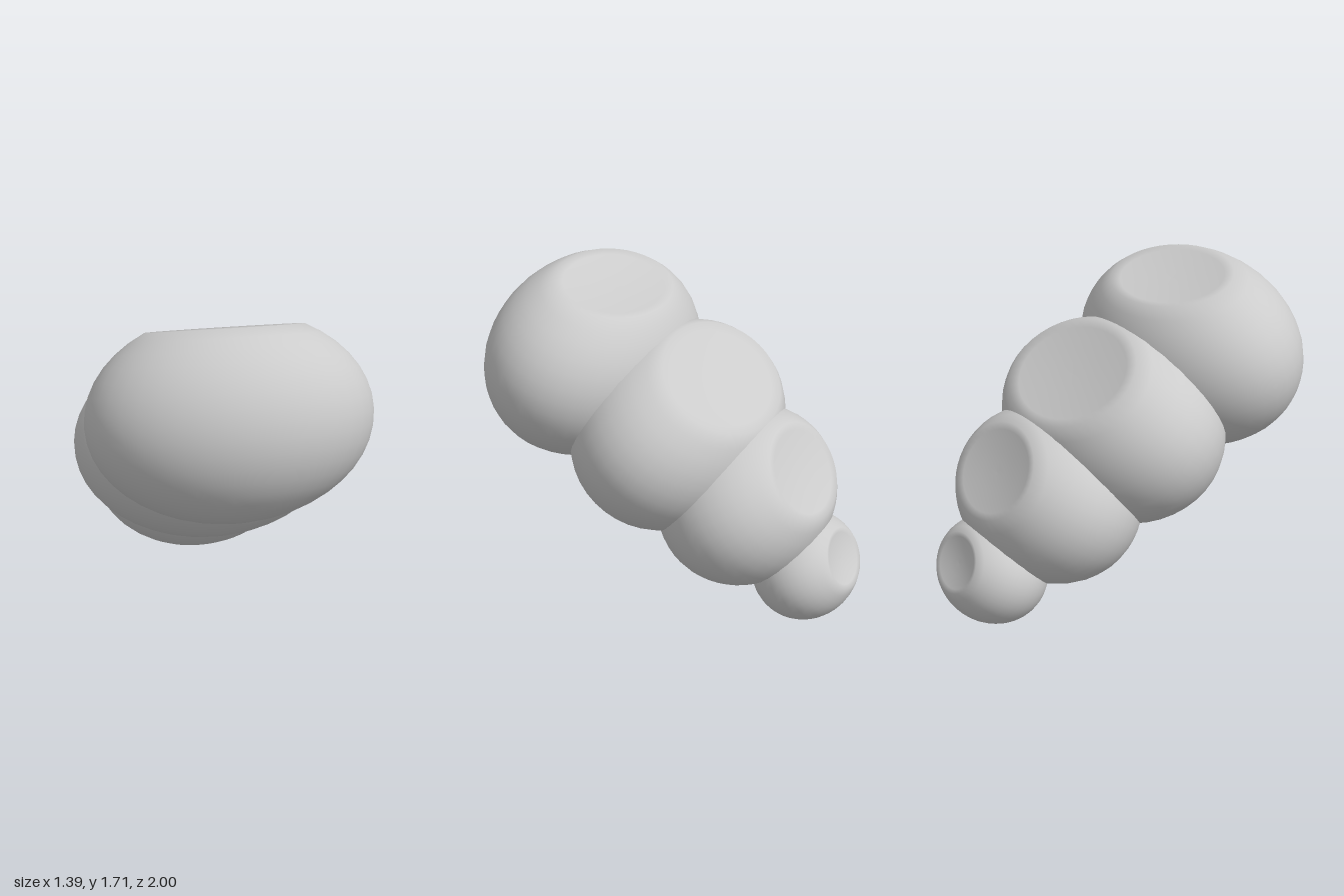
import * as THREE from 'three';

// Ball with a soft, slightly dished flat on its +y end, d above its centre
function flattenedBall(radius, d) {
  const rim = Math.acos(d / radius);
  const flat = radius * Math.sin(rim);
  const points = [];
  const steps = 18;
  for (let i = 0; i <= steps; i++) {
    const a = Math.PI - (Math.PI - rim) * (i / steps);
    points.push(new THREE.Vector2(i ? radius * Math.sin(a) : 0, radius * Math.cos(a)));
  }
  // shallow dish from the rim to the axis
  for (const t of [0.85, 0.65, 0.4, 0.2, 0]) {
    points.push(new THREE.Vector2(flat * t, d - 0.02 * (1 - t * t)));
  }
  return new THREE.LatheGeometry(points, 40);
}

export function createModel() {
  const model = new THREE.Group();
  model.name = 'segmentedBody';
  const material = new THREE.MeshStandardMaterial({ color: 0xcccccc });

  // centre height and depth, radius, half width, distance and backward tilt of the flat
  const segments = [
    { name: 'frontSegment', y: 1.225, z: 0.495, r: 0.505, w: 0.695, d: 0.422, tilt: 0.303 },
    { name: 'middleSegment', y: 0.92, z: 0.0, r: 0.51, w: 0.695, d: 0.398, tilt: 0.656 },
    { name: 'rearSegment', y: 0.605, z: -0.39, r: 0.445, w: 0.55, d: 0.37, tilt: 0.977 },
    { name: 'tailSegment', y: 0.272, z: -0.73, r: 0.272, w: 0.318, d: 0.226, tilt: 1.125 },
  ];

  for (const s of segments) {
    const mesh = new THREE.Mesh(flattenedBall(s.r, s.d), material);
    mesh.name = s.name;
    mesh.position.set(0, s.y, s.z);
    mesh.rotation.x = -s.tilt;
    mesh.scale.x = s.w / s.r;
    model.add(mesh);
  }
  return model;
}
